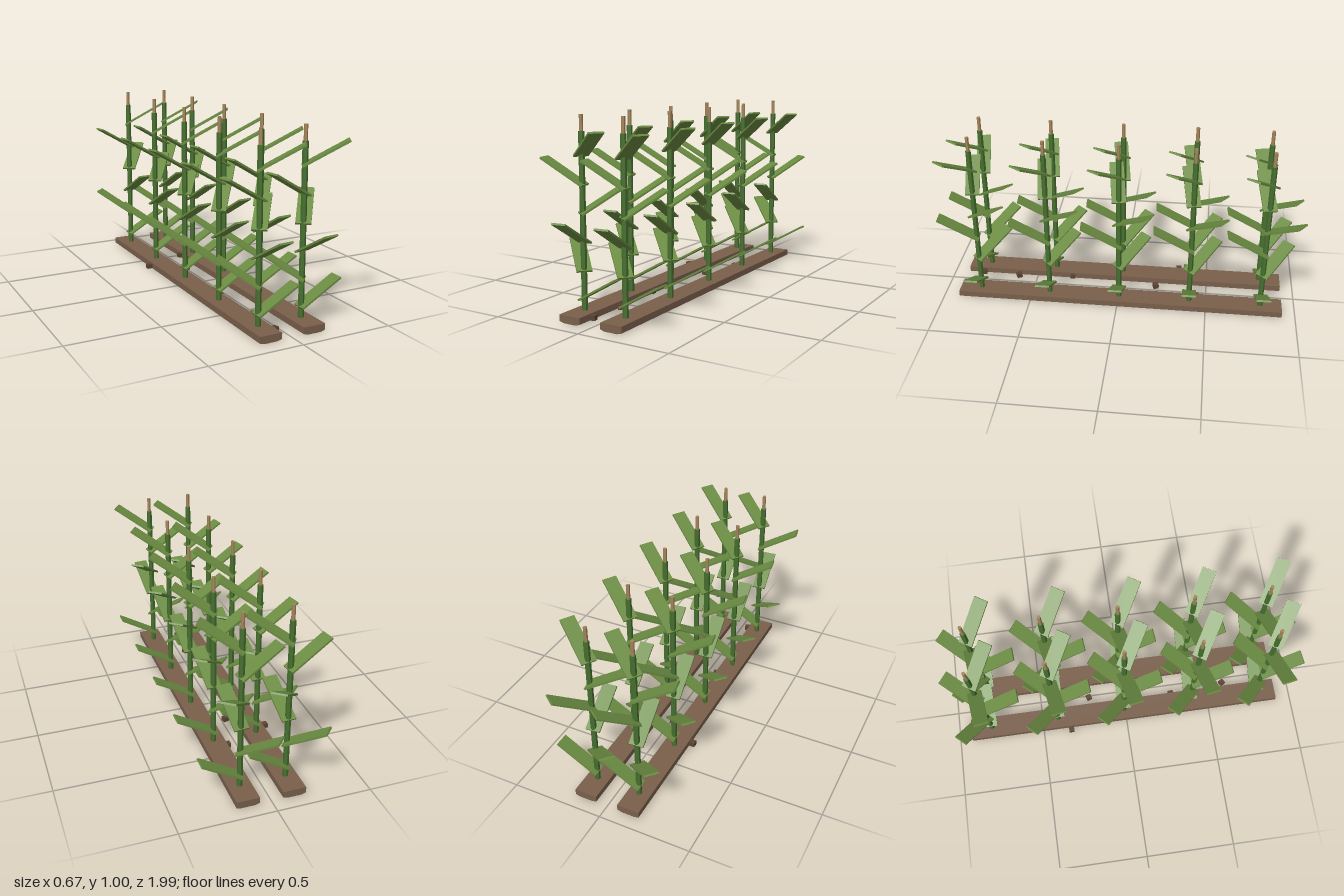
import * as THREE from 'three';

const mat = (name, color) => {
  const m = new THREE.MeshStandardMaterial({ color });
  m.name = name;
  m.flatShading = true;
  return m;
};

export function createModel() {
  const soil = mat('soil brown', 0x795f4b);
  const clodMat = mat('dark soil', 0x5a4334);
  const stalkMat = mat('stalk green', 0x47702f);
  const leafMat = mat('leaf green', 0x6b8c42);
  const tasselMat = mat('tassel tan', 0xa5855a);

  const model = new THREE.Group();
  model.name = 'cropRows';
  const add = (parent, name, geometry, material, x, y, z) => {
    const mesh = new THREE.Mesh(geometry, material);
    mesh.name = name;
    mesh.position.set(x, y, z);
    parent.add(mesh);
    return mesh;
  };

  // Soil bed: long bar with a shallow chamfered underside
  const profile = new THREE.Shape([
    [-0.061, 0.04], [-0.061, 0.007], [-0.036, 0], [0.036, 0], [0.061, 0.007], [0.061, 0.04],
  ].map(([x, y]) => new THREE.Vector2(x, y)));
  const bedGeo = new THREE.ExtrudeGeometry(profile, { depth: 1.835, bevelEnabled: false });

  // Shared plant geometry
  const stalkGeo = new THREE.CylinderGeometry(0.015, 0.015, 0.9, 6);
  const tasselGeo = new THREE.CylinderGeometry(0.01, 0.01, 0.08, 6);
  const leafGeo = new THREE.BoxGeometry(0.255, 0.01, 0.077);

  // One plant: stalk, tassel and six leaves spiralling by the golden angle
  const makePlant = () => {
    const plant = new THREE.Group();
    plant.name = 'plant';
    add(plant, 'stalk', stalkGeo, stalkMat, 0, 0.47, 0);
    add(plant, 'tassel', tasselGeo, tasselMat, 0, 0.96, 0);
    for (let i = 0; i < 6; i++) {
      const pivot = new THREE.Group();
      pivot.name = 'leafPivot';
      pivot.rotation.y = THREE.MathUtils.degToRad(137.5 * i);
      add(pivot, 'leaf', leafGeo, leafMat, 0.097, 0.16 + 0.141 * i, 0).rotation.z = Math.PI / 6;
      plant.add(pivot);
    }
    return plant;
  };

  // Two rows of five plants
  for (const x of [-0.122, 0.123]) {
    add(model, 'soilBed', bedGeo, soil, x, 0, -0.925);
    for (let i = 0; i < 5; i++) {
      const plant = makePlant();
      plant.position.set(x, 0, -0.803 + 0.398 * i);
      model.add(plant);
    }
  }

  // Loose clods beside the beds
  const clodGeo = new THREE.BoxGeometry(0.03, 0.025, 0.03);
  [[-0.047, 0.82, 0.2], [-0.035, 0.605, 0.5], [-0.06, 0.287, 0.1],
    [-0.2, -0.335, 0], [-0.015, -0.208, 0.3], [0.056, -0.443, 0]].forEach(([x, z, turn]) => {
    add(model, 'clod', clodGeo, clodMat, x, 0.0225, z).rotation.y = turn;
  });
  return model;
}
